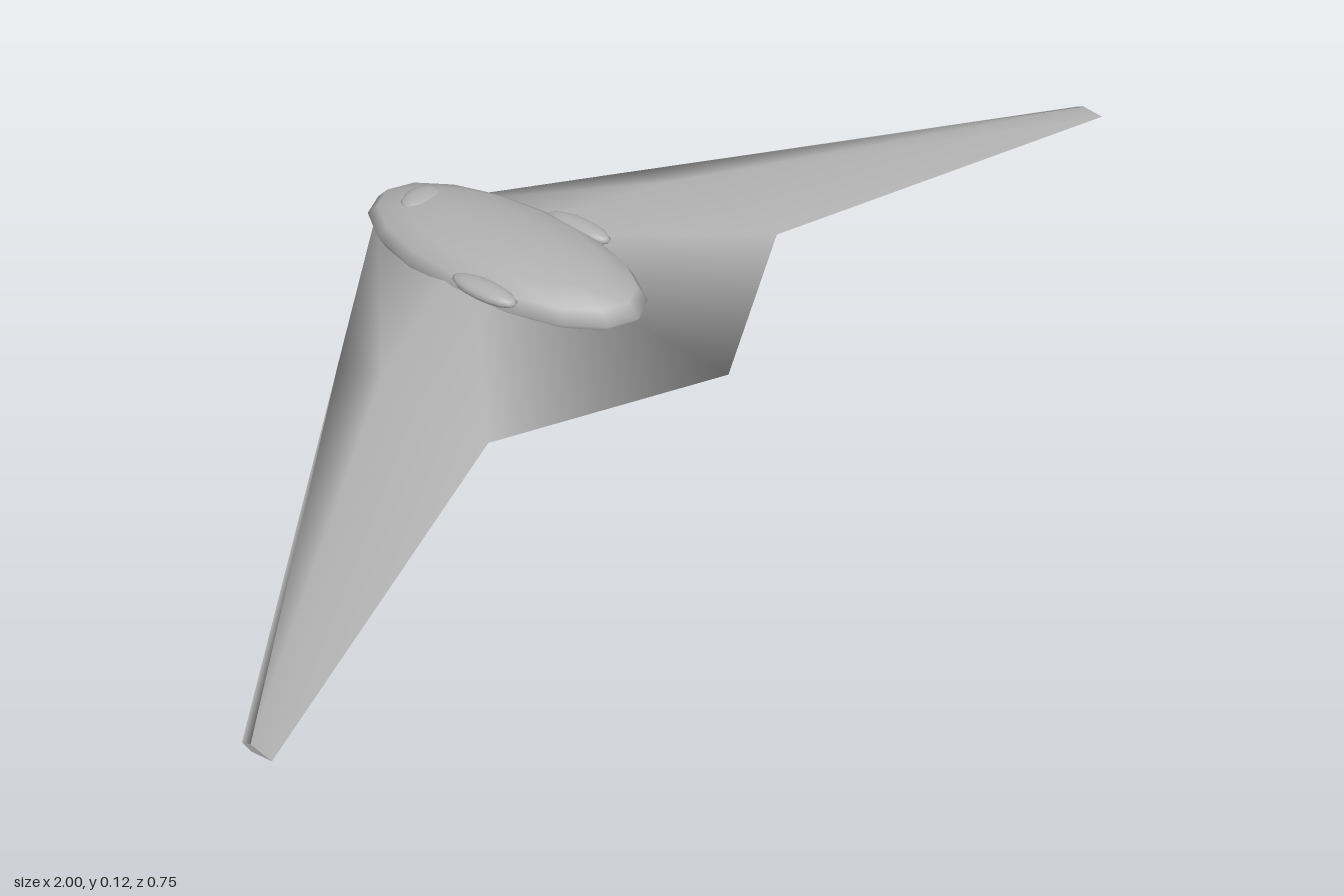
import * as THREE from 'three';
import { mergeGeometries } from 'three/addons/utils/BufferGeometryUtils.js';

const WING_Y = 0.04;

// Diamond-shaped wing section: leading edge, crest, trailing edge, keel
function section([x, lead, trail, half]) {
  const crest = lead + (trail - lead) * 0.3;
  return [
    [x, WING_Y, lead],
    [x, WING_Y + half, crest],
    [x, WING_Y, trail],
    [x, WING_Y - half, crest],
  ];
}

function buildGeometry(points, index) {
  const geometry = new THREE.BufferGeometry();
  geometry.setAttribute('position', new THREE.Float32BufferAttribute(points.flat(), 3));
  geometry.setIndex(index);
  geometry.computeVertexNormals();
  return geometry;
}

// Swept wing lofted from tip to tip, with flat tip caps
function wingGeometry() {
  // x, leading edge z, trailing edge z, half thickness
  const half = [[0, -0.38, 0.325, 0.038], [0.35, -0.135, 0.16, 0.017], [1, 0.32, 0.372, 0.006]];
  const stations = [
    ...half.slice(1).reverse().map(([x, ...rest]) => [-x, ...rest]),
    ...half,
  ];
  const rings = stations.map(section);
  const index = [];
  for (let i = 0; i < rings.length - 1; i++) {
    for (let j = 0; j < 4; j++) {
      const a = i * 4 + j;
      const b = i * 4 + (j + 1) % 4;
      const c = b + 4;
      const d = a + 4;
      // mirror the diagonals about the centreline
      if (i < 2) index.push(a, b, d, b, c, d);
      else index.push(a, b, c, a, c, d);
    }
  }
  return mergeGeometries([
    buildGeometry(rings.flat(), index),
    buildGeometry(rings[rings.length - 1], [0, 1, 2, 0, 2, 3]),
    buildGeometry(rings[0], [0, 2, 1, 0, 3, 2]),
  ]);
}

export function createModel() {
  const group = new THREE.Group();
  group.name = 'flyingWing';
  const grey = new THREE.MeshStandardMaterial({ color: 0xb0b0b0 });
  grey.name = 'hull grey';

  const add = (name, geometry) => {
    const mesh = new THREE.Mesh(geometry, grey);
    mesh.name = name;
    group.add(mesh);
    return mesh;
  };
  const ellipsoid = (name, radii, position) => {
    const geometry = new THREE.SphereGeometry(1, 16, 8).scale(...radii);
    add(name, geometry).position.set(...position);
  };

  add('wing', wingGeometry());

  // Central body and the low blister near its nose
  ellipsoid('fuselage', [0.122, 0.055, 0.267], [0, 0.065, -0.11]);
  ellipsoid('noseBlister', [0.04, 0.013, 0.03], [0, 0.099, -0.28]);

  // Pods on both flanks
  for (const [name, side] of [['leftPod', 1], ['rightPod', -1]]) {
    ellipsoid(name, [0.022, 0.0135, 0.063], [side * 0.112, 0.084, -0.053]);
  }
  return group;
}
